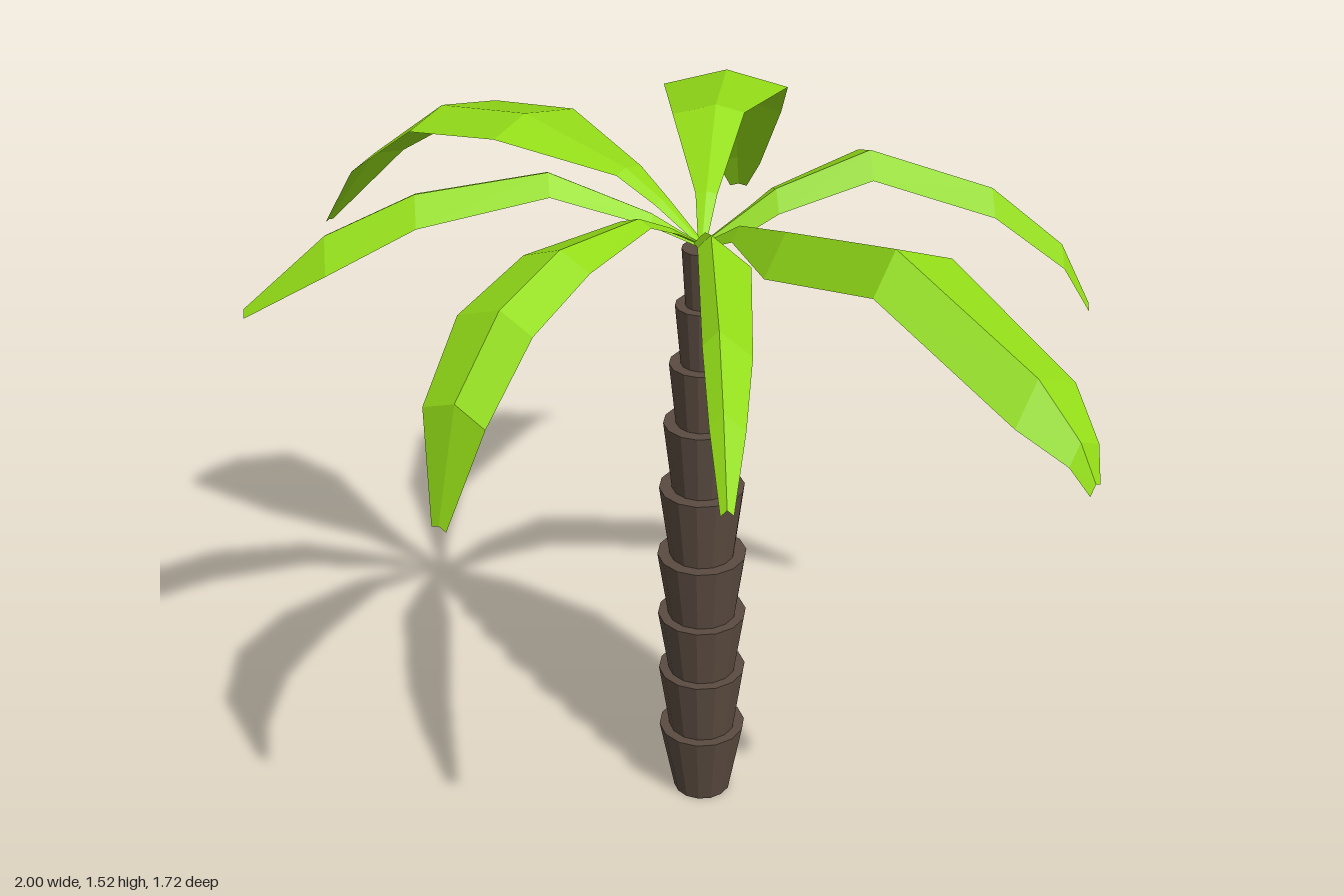
import * as THREE from 'three';

const CX = 0.05, CZ = 0.06; // trunk axis

const bark = new THREE.MeshStandardMaterial({ color: 0x5a4b40, flatShading: true });
const green = new THREE.MeshStandardMaterial({ color: 0x94de18, flatShading: true, side: THREE.DoubleSide });

// Folded leaf growing from the crown towards (tipX, tipZ).
// Station: [distance, ridge height, left width, right width, sideways shift]
function makeFrond(tipX, tipZ, dropL, dropR, stations) {
  const d = new THREE.Vector2(tipX - CX, tipZ - CZ).normalize();
  const rows = [[0, 1.345, 0.008, 0.008], [0.1, 1.415, 0.022, 0.022], ...stations];
  const pos = [], index = [];
  rows.forEach(([r, y, wl, wr, shift = 0], i) => {
    const add = (side, h) => pos.push(CX + d.x * r - d.y * side, h, CZ + d.y * r + d.x * side);
    add(shift + wl, y - wl * dropL);
    add(shift, y);
    add(shift - wr, y - wr * dropR);
    if (i === 0) return;
    const a = (i - 1) * 3, b = i * 3;
    for (const k of [0, 1]) {
      index.push(a + k + 1, a + k, b + k + 1, a + k, b + k, b + k + 1);
    }
  });
  const g = new THREE.BufferGeometry();
  g.setAttribute('position', new THREE.Float32BufferAttribute(pos, 3));
  g.setIndex(index);
  const flat = g.toNonIndexed();
  flat.computeVertexNormals();
  return new THREE.Mesh(flat, green);
}

export function createModel() {
  const model = new THREE.Group();

  // Trunk: stacked flared rings, [top height, top radius, bottom radius]
  const trunk = new THREE.Group();
  trunk.name = 'trunk';
  trunk.position.set(CX, 0, CZ);
  let y0 = 0;
  [
    [0.172, 0.095, 0.063], [0.326, 0.095, 0.073], [0.47, 0.096, 0.074],
    [0.622, 0.096, 0.074], [0.787, 0.091, 0.07], [0.942, 0.081, 0.064],
    [1.08, 0.068, 0.055], [1.212, 0.055, 0.044], [1.337, 0.041, 0.034],
  ].forEach(([y1, rt, rb], i) => {
    const ring = new THREE.Mesh(new THREE.CylinderGeometry(rt, rb, y1 - y0, 14), bark);
    ring.name = `trunkRing${i + 1}`;
    ring.position.y = (y0 + y1) / 2;
    trunk.add(ring);
    y0 = y1;
  });
  model.add(trunk);

  // Crown of seven drooping leaves
  const crown = new THREE.Group();
  crown.name = 'crown';
  const fronds = {
    rightFrond: makeFrond(-1, -0.005, 0.25, 0.25, [
      [0.19, 1.46, 0.05, 0.03], [0.45, 1.515, 0.155, 0.1], [0.68, 1.48, 0.17, 0.105],
      [0.89, 1.32, 0.09, 0.075], [1.05, 1.12, 0.012, 0.012]]),
    leftFrond: makeFrond(0.99, 0.235, 1.3, 0.45, [
      [0.25, 1.46, 0.06, 0.11, 0.035], [0.53, 1.52, 0.06, 0.17, 0.055],
      [0.84, 1.36, 0.06, 0.12, 0.03], [0.93, 1.26, 0.03, 0.06, 0.015], [0.96, 1.18, 0.015, 0.015]]),
    backRightFrond: makeFrond(-0.43, -0.85, 0.27, 0.27, [
      [0.33, 1.51, 0.06, 0.09], [0.63, 1.475, 0.135, 0.139], [0.86, 1.32, 0.11, 0.09],
      [0.99, 1.12, 0.055, 0.05], [1.04, 1.03, 0.02, 0.02]]),
    backLeftFrond: makeFrond(0.63, -0.52, 1.8, 0.4, [
      [0.15, 1.45, 0.025, 0.04], [0.34, 1.515, 0.03, 0.09], [0.6, 1.41, 0.03, 0.095],
      [0.76, 1.27, 0.025, 0.055], [0.83, 1.13, 0.01, 0.015]]),
    frontRightFrond: makeFrond(-0.66, 0.625, 0.4, 0.9, [
      [0.3, 1.51, 0.05, 0.04], [0.56, 1.475, 0.063, 0.055],
      [0.74, 1.395, 0.04, 0.064], [0.91, 1.245, 0.015, 0.015]]),
    frontLeftFrond: makeFrond(0.525, 0.72, 1, 0.9, [
      [0.31, 1.505, 0.025, 0.075], [0.57, 1.44, 0.03, 0.06],
      [0.7, 1.345, 0.025, 0.04], [0.815, 1.22, 0.012, 0.012]]),
    frontFrond: makeFrond(-0.01, 0.845, 0.4, 0.4, [
      [0.2, 1.47, 0.045, 0.03], [0.43, 1.49, 0.09, 0.07], [0.6, 1.435, 0.105, 0.077],
      [0.73, 1.3, 0.08, 0.072], [0.79, 1.075, 0.018, 0.018]]),
  };
  for (const [name, frond] of Object.entries(fronds)) {
    frond.name = name;
    crown.add(frond);
  }
  model.add(crown);

  return model;
}
